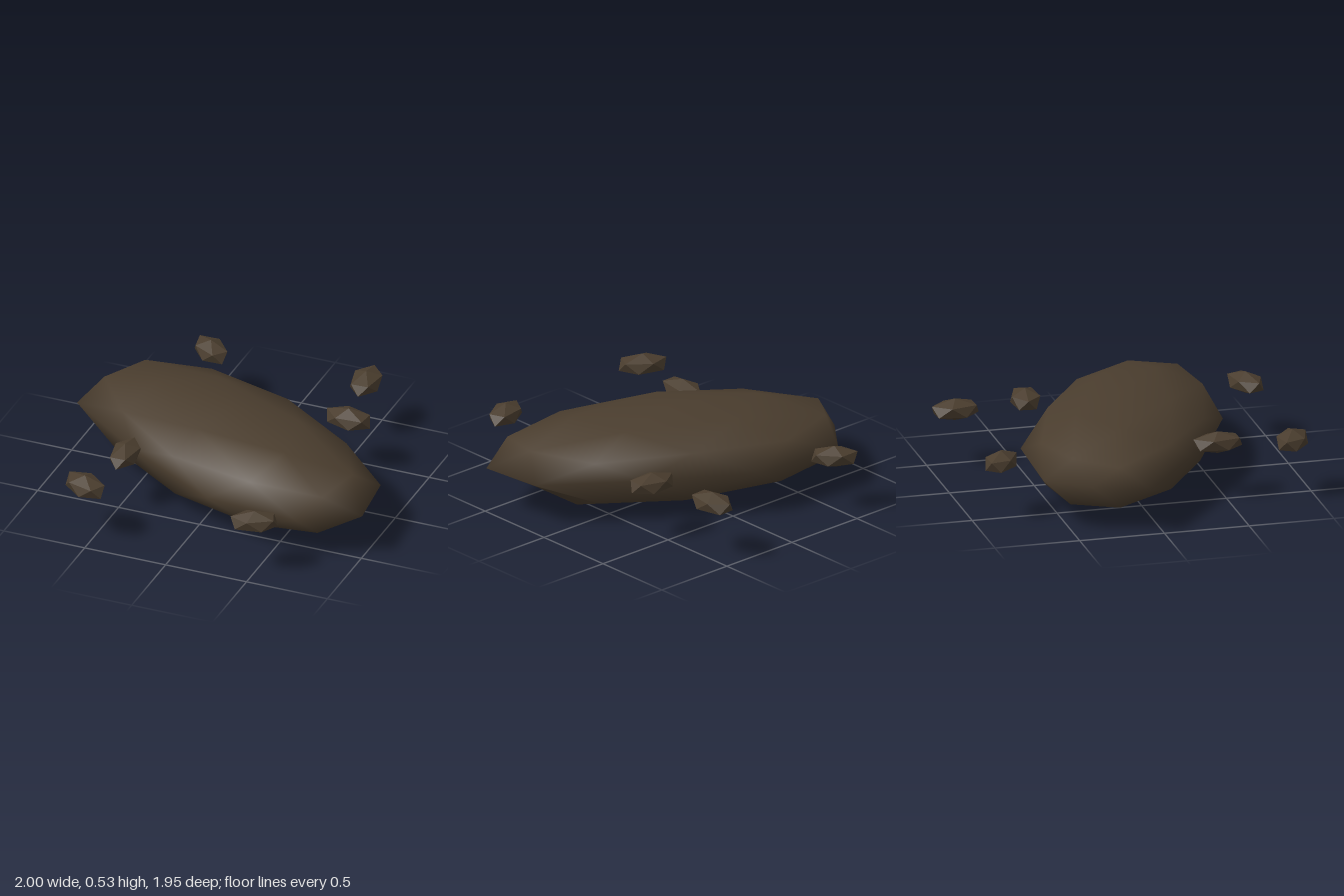
import * as THREE from 'three';
import { mergeVertices } from 'three/addons/utils/BufferGeometryUtils.js';

// Icosphere with one vertex pointing straight up, shared vertices
function poleUpIcosphere(detail) {
  const geo = new THREE.IcosahedronGeometry(1, detail);
  geo.deleteAttribute('uv');
  geo.deleteAttribute('normal');
  geo.rotateZ(Math.atan(2 / (1 + Math.sqrt(5))));
  return mergeVertices(geo, 1e-3);
}

// Irregular outline of the boulder at its widest height: [x, z]
const EQUATOR = [
  [-1, -0.08], [-0.88, -0.39], [-0.69, -0.63], [-0.11, -0.61], [0.45, -0.25],
  [0.96, 0.12], [1, 0.49], [0.67, 0.68], [0.1, 0.64], [-0.5, 0.29],
];

// Big smooth boulder: a skewed, flattened icosphere
function boulderGeometry() {
  const geo = poleUpIcosphere(1);
  const pos = geo.attributes.position;
  for (let i = 0; i < pos.count; i++) {
    const x = pos.getX(i), y = pos.getY(i), z = pos.getZ(i);
    const r = Math.hypot(x, z);
    const a = Math.atan2(z, x) - Math.PI + Math.PI / 10;
    const k = (a / (Math.PI / 5) + 20) % 10;
    let px = r * (-0.921 * Math.cos(a) - 0.408 * Math.sin(a));
    let pz = 0.03 + r * (-0.099 * Math.cos(a) - 0.654 * Math.sin(a));
    let py = 0.263 + 0.263 * y;
    if (Math.abs(y) < 0.01) {
      [px, pz] = EQUATOR[Math.round(k) % 10];
      py = 0.27;
    } else if (y < 0 && r > 0.3 && Math.abs(k - 5.5) < 0.1) {
      // chipped underside at one end
      px *= r > 0.7 ? 0.89 : 1.1;
      py += r > 0.7 ? 0.015 : -0.02;
    }
    pos.setXYZ(i, px, py, pz);
  }
  geo.computeVertexNormals();
  return geo;
}

// Small stones: x, z, half length, half width, heading in degrees
const STONES = [
  [-0.485, -0.825, 0.133, 0.08, 39],
  [0.468, -0.84, 0.14, 0.085, 87],
  [0.54, -0.408, 0.14, 0.083, 7],
  [-0.478, 0.455, 0.145, 0.077, 89],
  [-0.55, 0.875, 0.14, 0.085, 28],
  [0.498, 0.88, 0.136, 0.08, -21],
];

export function createModel() {
  const group = new THREE.Group();
  group.name = 'asteroidCluster';
  const rock = new THREE.MeshStandardMaterial({ color: 0x4a3d2e });
  rock.name = 'dark brown rock';

  const boulder = new THREE.Mesh(boulderGeometry(), rock);
  boulder.name = 'boulder';
  group.add(boulder);

  // Faceted stones floating around the boulder
  const facets = poleUpIcosphere(0).toNonIndexed();
  facets.computeVertexNormals();
  STONES.forEach(([x, z, length, width, heading], i) => {
    const stone = new THREE.Mesh(facets, rock);
    stone.name = `smallStone${i + 1}`;
    stone.scale.set(length / 0.894, 0.065, width / 0.87);
    stone.rotation.y = -THREE.MathUtils.degToRad(heading);
    stone.position.set(x, 0.335, z);
    group.add(stone);
  });
  return group;
}
